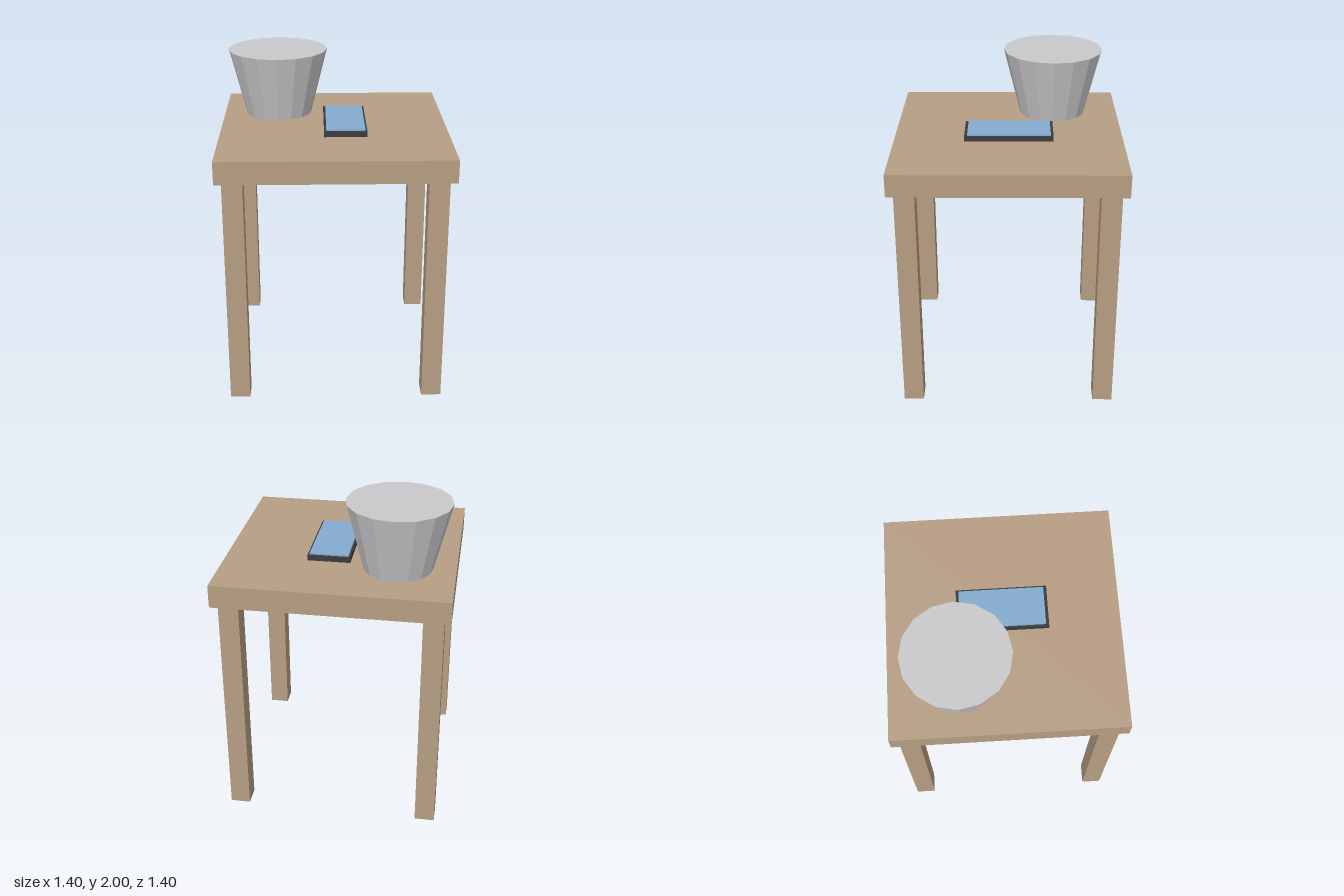
import * as THREE from 'three';

const material = (name, color) => {
  const m = new THREE.MeshStandardMaterial({ color });
  m.name = name;
  return m;
};

export function createModel() {
  const wood = material('wood', 0xb69e83);
  const metal = material('pale grey', 0xc9c9cc);
  const dark = material('dark casing', 0x3a3a40);
  const blue = material('blue screen', 0x84abce);
  const model = new THREE.Group();
  model.name = 'tableWithBucketAndTablet';

  const add = (name, geometry, mat, x, y, z) => {
    const mesh = new THREE.Mesh(geometry, mat);
    mesh.name = name;
    mesh.position.set(x, y, z);
    model.add(mesh);
  };
  // Box standing on a given base height
  const box = (name, mat, w, h, d, x, base, z) =>
    add(name, new THREE.BoxGeometry(w, h, d), mat, x, base + h / 2, z);

  // Table
  const topBase = 1.443, topY = 1.583;
  box('tabletop', wood, 1.4, topY - topBase, 1.4, 0, topBase, 0);
  for (const x of [1, -1]) {
    for (const z of [1, -1]) {
      const name = (z > 0 ? 'front' : 'back') + (x > 0 ? 'Left' : 'Right') + 'Leg';
      box(name, wood, 0.122, topBase, 0.122, x * 0.599, 0, z * 0.599);
    }
  }

  // Tapered, faceted bucket with a closed top
  const bucket = new THREE.CylinderGeometry(0.314, 0.21, 2 - topY, 16).toNonIndexed();
  bucket.computeVertexNormals();
  add('bucket', bucket, metal, -0.351, (2 + topY) / 2, -0.281);

  // Tablet lying on the table
  box('tabletBody', dark, 0.262, 0.032, 0.545, 0.068, topY, -0.002);
  box('tabletScreen', blue, 0.238, 0.009, 0.51, 0.069, topY + 0.032, -0.003);

  return model;
}
